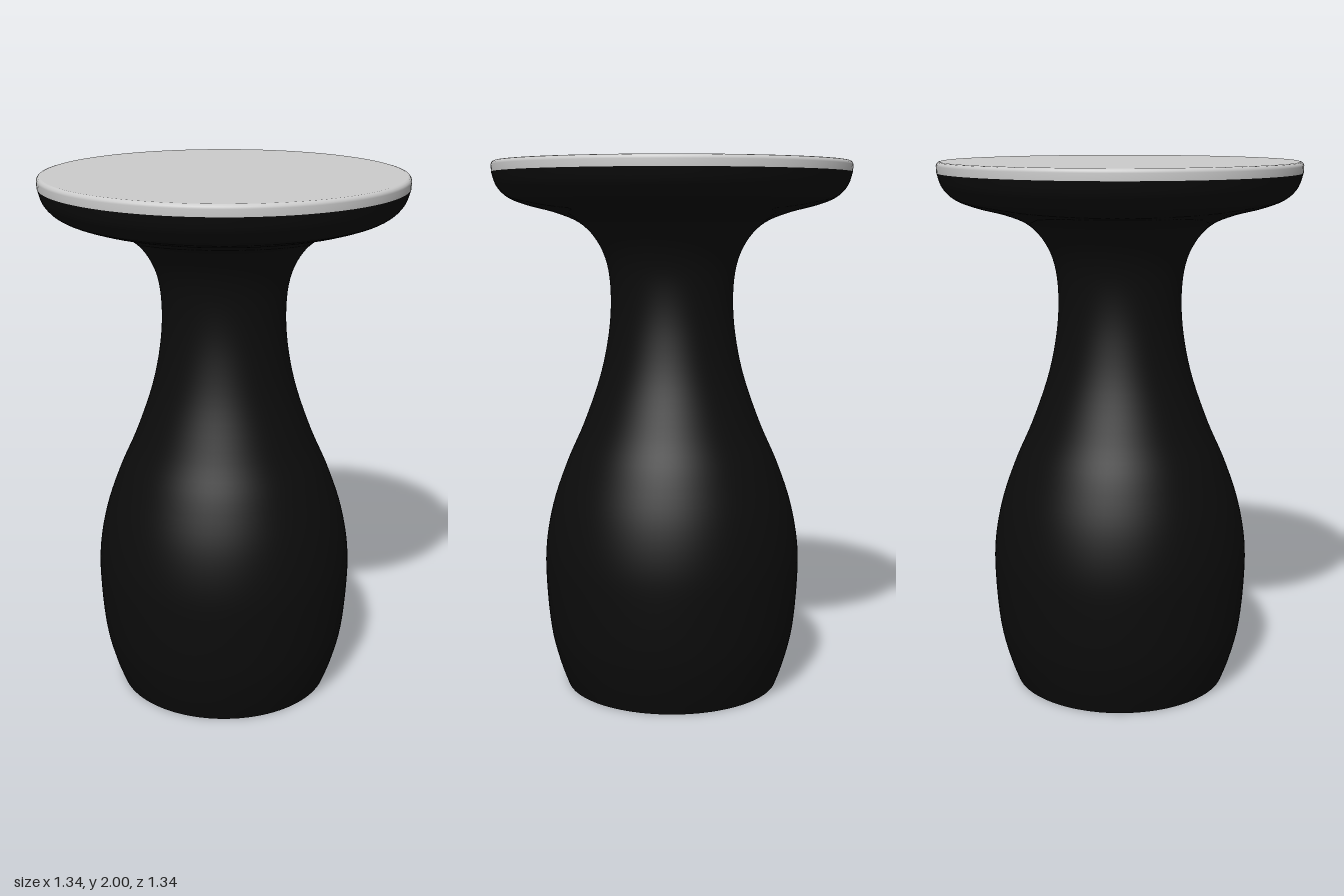
import * as THREE from 'three';

const SEGMENTS = 96;
const points = (list) => list.map(([r, y]) => new THREE.Vector2(r, y));

export function createModel() {
  const model = new THREE.Group();
  model.name = 'pedestalStool';
  const black = new THREE.MeshStandardMaterial({ color: 0x0c0c0c });
  const grey = new THREE.MeshStandardMaterial({ color: 0xcccccc });

  const add = (name, geometry, material, parent = model) => {
    const mesh = new THREE.Mesh(geometry, material);
    mesh.name = name;
    parent.add(mesh);
    return mesh;
  };

  // Body: bulbous foot, narrow neck and flared bowl in one smooth curve
  const profile = new THREE.SplineCurve(points([
    [0.408, 0], [0.44, 0.09], [0.471, 0.22], [0.487, 0.4], [0.486, 0.55],
    [0.457, 0.71], [0.402, 0.87], [0.336, 1.02], [0.273, 1.2], [0.24, 1.36],
    [0.231, 1.5], [0.244, 1.62], [0.283, 1.71], [0.345, 1.774],
    [0.435, 1.812], [0.535, 1.838], [0.607, 1.866], [0.65, 1.908], [0.668, 1.96],
  ]));
  add('body', new THREE.LatheGeometry(profile.getPoints(80), SEGMENTS), black);

  // Flat underside of the foot
  const base = add('baseUnderside', new THREE.CircleGeometry(0.408, SEGMENTS), black);
  base.rotation.x = Math.PI / 2;

  // Seat pad: upright rim with a softly rounded top edge
  const seat = new THREE.Group();
  seat.name = 'seat';
  model.add(seat);
  add('seatRim', new THREE.LatheGeometry(points([
    [0.668, 1.96], [0.669, 1.985], [0.667, 1.992], [0.662, 1.998], [0.655, 2],
  ]), SEGMENTS), grey, seat);
  const top = add('seatTop', new THREE.CircleGeometry(0.655, SEGMENTS), grey, seat);
  top.rotation.x = -Math.PI / 2;
  top.position.y = 2;

  return model;
}
